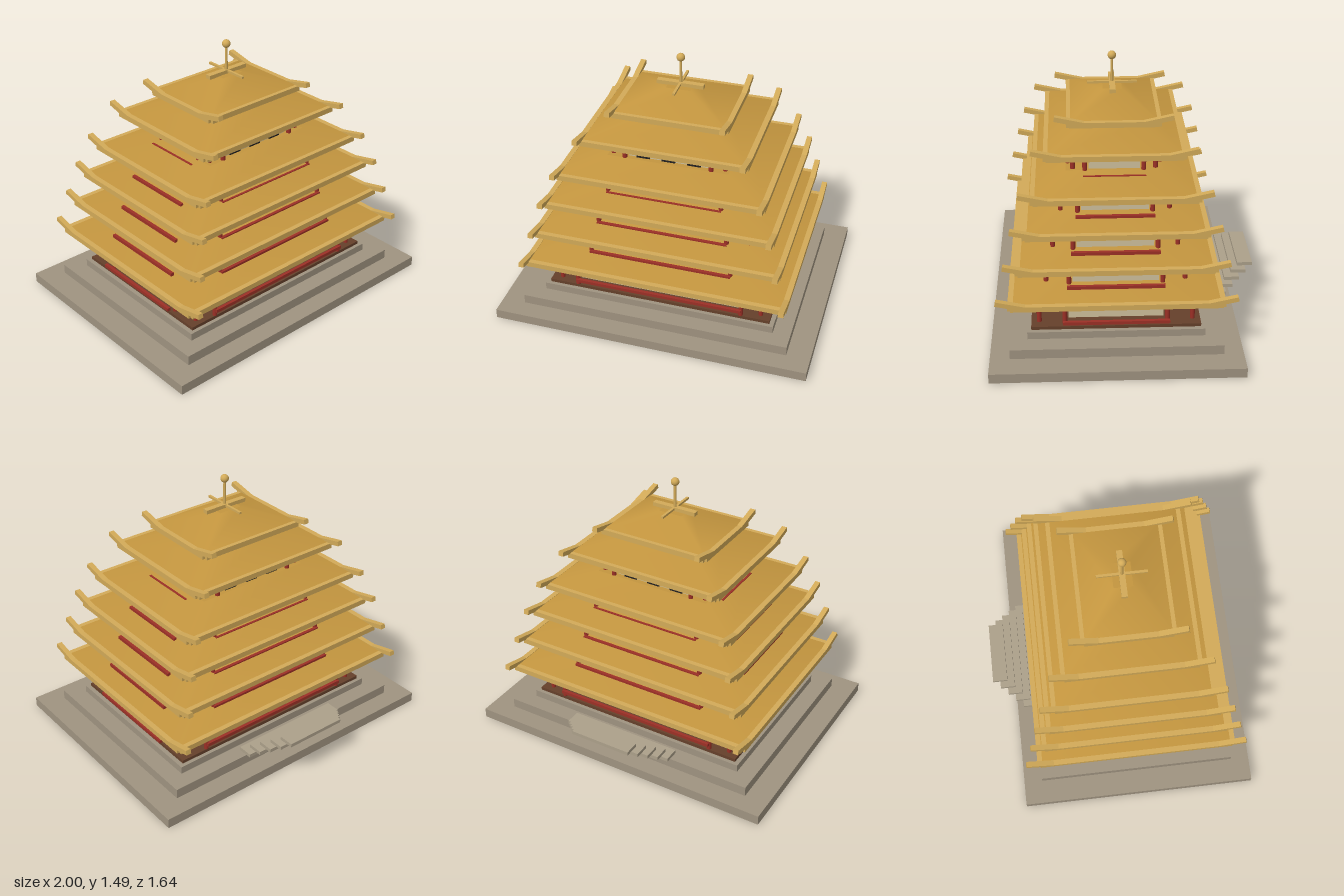
import * as THREE from 'three';

const mat = (color) => new THREE.MeshStandardMaterial({ color });

export function createModel() {
  const stone = mat(0x9f9380), stepStone = mat(0xaca08a), gold = mat(0xc4963f), trim = mat(0xd2aa58);
  const red = mat(0x9c3026), cream = mat(0xcfc19d), dark = mat(0x222020), wood = mat(0x65402a);

  const model = new THREE.Group();
  model.name = 'tower';
  const tower = new THREE.Group();
  tower.name = 'turnedTower';
  tower.rotation.y = -Math.PI / 18;
  model.add(tower);

  const add = (name, geo, material, x, y, z, parent = tower) => {
    const m = new THREE.Mesh(geo, material);
    m.name = name;
    m.position.set(x, y, z);
    parent.add(m);
    return m;
  };
  const box = (name, w, h, d, material, x, y, z, parent) =>
    add(name, new THREE.BoxGeometry(w, h, d), material, x, y, z, parent);

  // Stepped platform: half width, half depth, bottom, top
  [[0.895, 0.674, 0, 0.055, stone], [0.763, 0.568, 0.055, 0.11, stone],
    [0.665, 0.476, 0.11, 0.152, stone], [0.64, 0.455, 0.152, 0.17, wood]].forEach(([a, b, y0, y1, m], i) =>
    box('platform' + (i + 1), 2 * a, y1 - y0, 2 * b, m, 0, (y0 + y1) / 2, 0));

  // Back steps, rising outward
  for (let i = 0; i < 5; i++) {
    box('step' + (i + 1), 0.355 + 0.073 * i, 0.02, 0.085, stepStone, 0, 0.255 - 0.025 * i, -0.752 + 0.041 * i);
  }

  // Dark inner core
  add('core', new THREE.CylinderGeometry(0.115, 0.115, 1.03, 16), dark, 0, 0.685, 0);

  // Roofs: eave half width, half depth, eave height, rise, top scale
  const roofs = [
    [0.73, 0.555, 0.347, 0.055, 0.6], [0.68, 0.513, 0.527, 0.055, 0.6], [0.629, 0.472, 0.707, 0.055, 0.6],
    [0.564, 0.427, 0.877, 0.06, 0.6], [0.453, 0.356, 1.07, 0.075, 0.45], [0.312, 0.234, 1.197, 0.09, 0.22],
  ];

  const addRoof = ([a, b, e, rise, t], i) => {
    const g = new THREE.Group();
    g.name = 'roof' + (i + 1);
    g.position.y = e;
    tower.add(g);
    // Hipped slope with soft corners
    const slope = new THREE.CylinderGeometry(t * Math.SQRT2, Math.SQRT2, rise, 4);
    slope.rotateY(Math.PI / 4);
    slope.scale(a, 1, b);
    add('roofSlope', slope, gold, 0, 0.012 + rise / 2, 0, g);
    box('soffit', 2 * a - 0.07, 0.034, 2 * b - 0.07, wood, 0, -0.018, 0, g);
    for (const s of [-1, 1]) {
      box('eaveBeam', 2 * a, 0.03, 0.032, trim, 0, 0, s * b, g);
      box('sideEaveBeam', 0.03, 0.03, 2 * b, trim, s * a, 0.002, 0, g);
      // Upturned corner horns
      for (const k of [-1, 1]) {
        const horn = box('cornerHorn', 0.03, 0.026, 0.16, trim, s * a, 0.021, k * b, g);
        horn.rotation.x = -k * 0.22;
      }
    }
  };
  roofs.forEach(addRoof);

  // Storeys: open-cornered wall panels, windows, rails and posts
  const storeyBase = [0.2, 0.39, 0.567, 0.748, 0.925, 1.115];
  const addStorey = (y, i) => {
    const [a, b, e] = roofs[i];
    const sx = a - 0.13, sz = b - 0.13;
    const fx = i === 0 ? 0.46 : sx * 0.7, fz = sz * 0.6;
    const top = e - 0.03, h = top - y;
    const g = new THREE.Group();
    g.name = 'storey' + (i + 1);
    tower.add(g);

    for (const s of [-1, 1]) {
      box('longWall', 2 * fx, h, 0.025, cream, 0, y + h / 2, s * (sz - 0.012), g);
      box('sideWall', 0.025, h, 2 * fz, cream, s * (sx - 0.012), y + h / 2, 0, g);
      box('lowerRail', 2 * fx + 0.04, 0.018, 0.018, red, 0, y + 0.004, s * (sz + 0.035), g);
      box('sideRail', 0.018, 0.018, 2 * fz + 0.06, red, s * (sx + 0.06), y + 0.004, 0, g);
      if (i < 5) {
        box('upperRail', 2 * fx + 0.04, 0.014, 0.018, red, 0, y + 0.09, s * (sz + 0.02), g);
        for (const k of [-1, 0, 1]) {
          box('window', i === 0 ? 0.082 : 0.075, 0.043, 0.012, dark, k * fx * 0.63, y + 0.046, s * (sz + 0.003), g);
        }
      }
      // Posts at the corners and at the wall ends
      const y0 = y - 0.03;
      const postGeo = new THREE.CylinderGeometry(0.013, 0.013, top - y0, 10);
      for (const k of [-1, 1]) {
        for (const [px, pz] of [[sx * 0.97, sz * 0.97], [fx + 0.015, sz + 0.02], [sx + 0.01, fz + 0.02]]) {
          add('post', postGeo, red, s * px, (top + y0) / 2, k * pz, g);
        }
      }
    }
  };
  storeyBase.forEach(addStorey);

  // Ridge cross and finial
  box('ridgeBar', 0.26, 0.022, 0.032, trim, 0, 1.308, 0);
  box('ridgeCrossBar', 0.014, 0.012, 0.27, trim, 0, 1.312, 0);
  add('finialRod', new THREE.CylinderGeometry(0.007, 0.009, 0.16, 12), trim, 0, 1.375, 0);
  add('finialBall', new THREE.SphereGeometry(0.023, 20, 14), trim, 0, 1.465, 0);

  return model;
}
